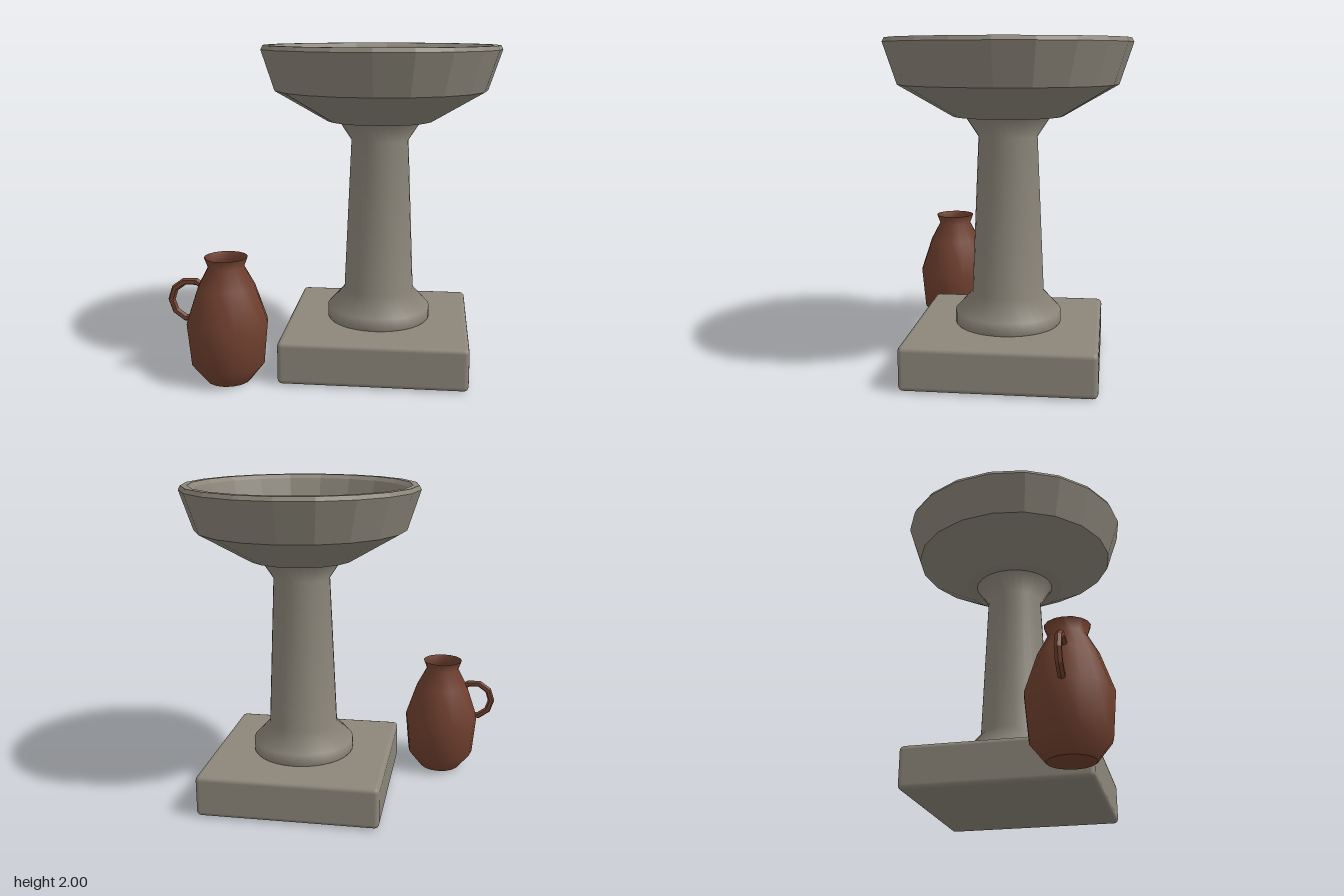
import * as THREE from 'three';
import { RoundedBoxGeometry } from 'three/addons/geometries/RoundedBoxGeometry.js';

const points = (list) => list.map(([r, y]) => new THREE.Vector2(r, y));

// Gives every face its own normal
function faceted(geometry) {
  const flat = geometry.index ? geometry.toNonIndexed() : geometry;
  flat.computeVertexNormals();
  return flat;
}

function addPart(parent, name, geometry, material, x = 0, y = 0, z = 0) {
  const mesh = new THREE.Mesh(geometry, material);
  mesh.name = name;
  mesh.position.set(x, y, z);
  parent.add(mesh);
  return mesh;
}

export function createModel() {
  const model = new THREE.Group();
  model.name = 'stoneBasinWithJug';

  const stone = new THREE.MeshStandardMaterial({ color: 0x8c867a });
  stone.name = 'grey stone';
  const clay = new THREE.MeshStandardMaterial({ color: 0x70402f, side: THREE.DoubleSide });
  clay.name = 'red clay';

  // Stone basin on its pedestal
  const basin = new THREE.Group();
  basin.name = 'basin';
  basin.position.x = 0.25;
  model.add(basin);

  addPart(basin, 'plinth', new RoundedBoxGeometry(1.14, 0.265, 1.14, 2, 0.03), stone, 0, 0.1375, 0);

  // Column with a wide foot and a flared head
  addPart(basin, 'column', new THREE.LatheGeometry(points([
    [0.31, 0.26], [0.325, 0.28], [0.325, 0.35], [0.22, 0.465], [0.178, 1.42], [0.26, 1.545],
  ]), 32), stone);

  // Faceted bowl: underside, outer wall, rim, inner wall, floor
  addPart(basin, 'bowl', faceted(new THREE.LatheGeometry(points([
    [0, 1.54], [0.33, 1.54], [0.657, 1.73], [0.738, 1.975], [0.725, 2], [0.685, 2],
    [0.662, 1.975], [0.605, 1.79], [0.3, 1.62], [0, 1.62],
  ]), 20)), stone);

  // Clay jug, hollow at the mouth
  const jug = new THREE.Group();
  jug.name = 'jug';
  jug.position.set(-0.63, 0, 0.49);
  model.add(jug);

  addPart(jug, 'jugBody', new THREE.LatheGeometry(points([
    [0.135, 0], [0.222, 0.11], [0.246, 0.37], [0.172, 0.59], [0.108, 0.71], [0.13, 0.77],
  ]), 16), clay);
  const foot = addPart(jug, 'jugBottom', new THREE.CircleGeometry(0.135, 16), clay);
  foot.rotation.x = Math.PI / 2;

  // Ten-sided loop handle, its inner part sunk in the body
  addPart(jug, 'jugHandle', faceted(new THREE.TorusGeometry(0.12, 0.022, 6, 10)), clay, -0.22, 0.495, 0);

  return model;
}
